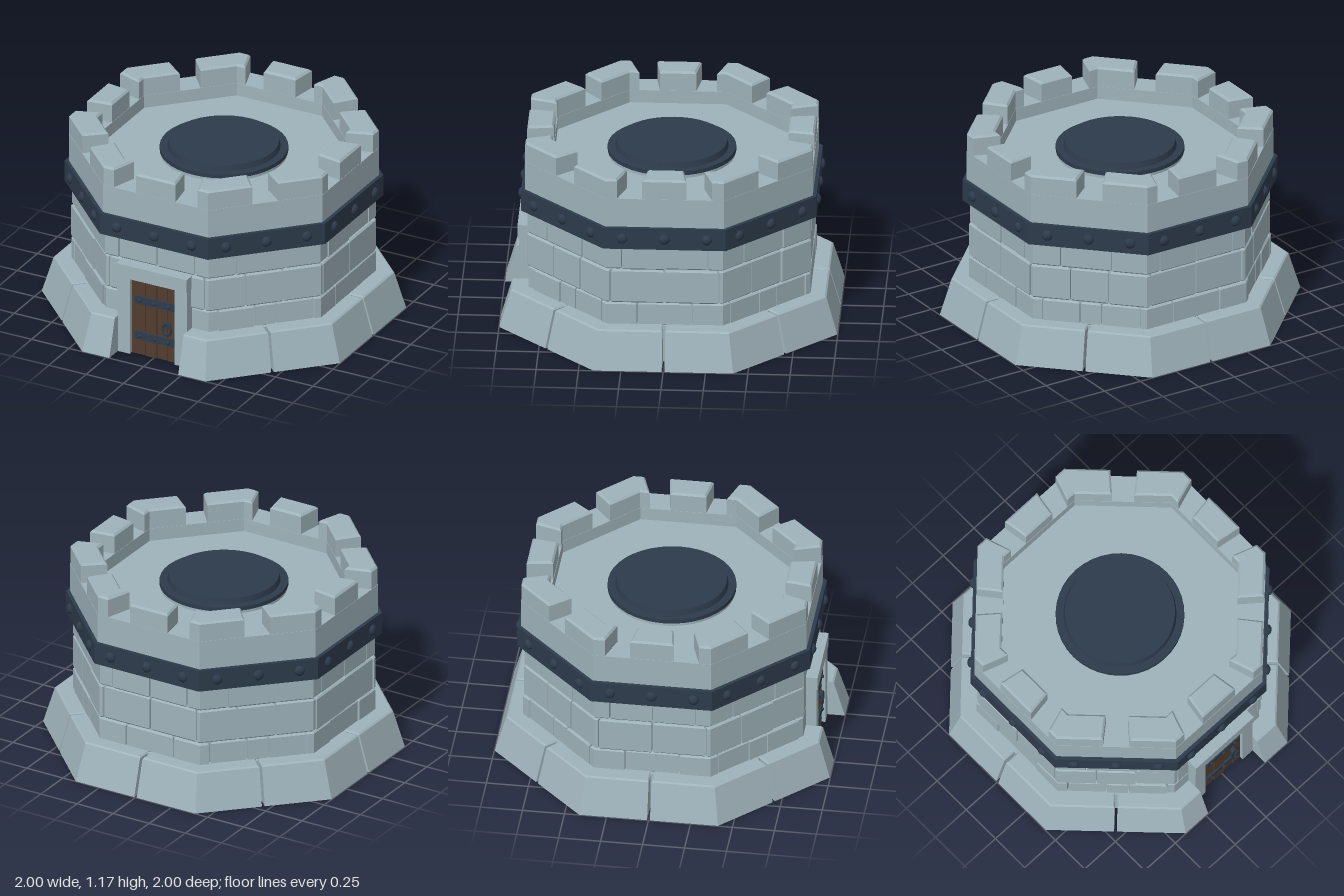
import * as THREE from 'three';

const material = (name, color) => {
  const m = new THREE.MeshStandardMaterial({ color });
  m.name = name;
  return m;
};

export function createModel() {
  const stone = material('pale stone', 0x9fb3bb);
  const iron = material('dark iron', 0x2d3b4b);
  const wood = material('brown wood', 0x523c2f);

  let seed = 7;
  const rand = () => (seed = (seed * 16807) % 2147483647) / 2147483647;

  const root = new THREE.Group();
  root.name = 'castleTower';
  const group = (name) => {
    const g = new THREE.Group();
    g.name = name;
    root.add(g);
    return g;
  };
  const add = (parent, name, geometry, mat, x = 0, y = 0, z = 0) => {
    const m = new THREE.Mesh(geometry, mat);
    m.name = name;
    m.position.set(x, y, z);
    parent.add(m);
    return m;
  };

  // Point on an octagon outline; degrees run from the front (+z) towards +x
  const octPoint = (deg, apothem) => {
    const off = (((deg + 22.5) % 45) + 45) % 45 - 22.5;
    const r = apothem / Math.cos(THREE.MathUtils.degToRad(off));
    const a = THREE.MathUtils.degToRad(deg);
    return new THREE.Vector2(r * Math.sin(a), -r * Math.cos(a));
  };
  const octagon = (apothem) =>
    Array.from({ length: 8 }, (_, i) => octPoint(22.5 + i * 45, apothem));

  // Upright extrusion from y0 to y1 with a small chamfer inside the outline
  const upright = (shape, y0, y1, bevel) => {
    const g = new THREE.ExtrudeGeometry(shape, {
      depth: y1 - y0 - 2 * bevel, bevelEnabled: bevel > 0, bevelSegments: 1,
      bevelSize: bevel, bevelThickness: bevel, bevelOffset: -bevel,
    });
    g.rotateX(-Math.PI / 2);
    g.translate(0, y0 + bevel, 0);
    return g;
  };
  const prism = (apothem, y0, y1, inner = 0, bevel = 0) => {
    const shape = new THREE.Shape(octagon(apothem));
    if (inner) shape.holes.push(new THREE.Path(octagon(inner).reverse()));
    return upright(shape, y0, y1, bevel);
  };
  // Block following the octagon between two angles, bending at corners
  const block = (a0, a1, inner, outer, y0, y1, bevel) => {
    const angles = [a0];
    for (let c = -382.5; c < 800; c += 45) if (c > a0 + 0.5 && c < a1 - 0.5) angles.push(c);
    angles.push(a1);
    const pts = angles.map((a) => octPoint(a, outer));
    angles.reverse().forEach((a) => pts.push(octPoint(a, inner)));
    return upright(new THREE.Shape(pts), y0, y1, bevel);
  };
  // Move vertices by a rule and refresh the flat normals
  const reshape = (g, rule) => {
    const p = g.attributes.position;
    const v = new THREE.Vector3();
    for (let i = 0; i < p.count; i++) {
      rule(v.fromBufferAttribute(p, i));
      p.setXYZ(i, v.x, v.y, v.z);
    }
    g.computeVertexNormals();
    return g;
  };

  // Sloping foundation blocks, one round each corner, open at the door
  const base = group('foundation');
  add(base, 'foundationCore', prism(0.85, 0, 0.23), stone);
  for (let i = 0; i < 8; i++) {
    const a0 = i === 0 ? 13 : i * 45 + 0.5;
    const a1 = i === 7 ? 347 : i * 45 + 44.5;
    const g = block(a0, a1, 0.8, 1, 0, 0.235, 0.008);
    const side = i === 0 ? 1 : i === 7 ? -1 : 0;
    reshape(g, (v) => {
      const s = 1 - 0.07 * (v.y / 0.235);
      v.x *= s;
      v.z *= s;
      if (v.y < 0.02) v.y = Math.max(0, v.y - 0.008);
      if (side) v.x = side * Math.max(0.23, side * v.x);
    });
    add(base, 'foundationBlock', g, stone);
  }

  // Three courses of bricks; joint angles repeat every quarter turn
  const wall = group('wall');
  add(wall, 'wallCore', prism(0.812, 0.2, 0.9), stone);
  const courses = [
    { y0: 0.225, y1: 0.37, joints: [11, 26, 41, 50, 65, 79] },
    { y0: 0.372, y1: 0.583, joints: [0, 21, 37, 53, 69] },
    { y0: 0.586, y1: 0.745, joints: [0, 17, 33, 54, 73] },
  ];
  for (const { y0, y1, joints } of courses) {
    const all = [0, 90, 180, 270].flatMap((q) => joints.map((j) => j + q));
    all.push(all[0] + 360);
    for (let i = 0; i < all.length - 1; i++) {
      const outer = 0.828 + rand() * 0.012;
      add(wall, 'brick', block(all[i] + 0.25, all[i + 1] - 0.25, 0.78, outer, y0, y1, 0.009), stone);
    }
  }

  // Iron band with three rivets on every side
  const band = group('ironBand');
  add(band, 'band', prism(0.872, 0.735, 0.87, 0.8), iron);
  const rivet = new THREE.SphereGeometry(0.033, 12, 8);
  for (let i = 0; i < 8; i++) {
    const side = new THREE.Group();
    side.name = 'rivetRow';
    side.rotation.y = (i * Math.PI) / 4;
    for (const x of [-0.25, 0, 0.25])
      add(side, 'rivet', rivet, iron, x, 0.803, 0.87).scale.z = 0.75;
    band.add(side);
  }

  // Parapet with twelve merlons and the roof floor
  const parapet = group('parapet');
  add(parapet, 'parapetWall', prism(0.85, 0.86, 1.05, 0.69), stone);
  add(parapet, 'roofFloor', prism(0.7, 0.88, 0.97), stone);
  for (let i = 0; i < 12; i++) {
    const half = i % 3 === 0 ? 8.8 : 10.7;
    const c = i * 30 + (i % 3 === 1 ? -1 : i % 3 === 2 ? 1 : 0);
    add(parapet, 'merlon', block(c - half, c + half, 0.692, 0.848, 1.03, 1.173, 0.012), stone);
  }

  // Round hatch in the middle of the roof
  const hatch = group('roofHatch');
  const disc = (name, r0, r1, y0, y1, mat) =>
    add(hatch, name, new THREE.CylinderGeometry(r1, r0, y1 - y0, 40), mat, 0, (y0 + y1) / 2, 0);
  disc('hatchSeat', 0.375, 0.375, 0.96, 0.99, stone);
  disc('hatchRim', 0.38, 0.38, 0.99, 1.015, iron);
  disc('hatchLid', 0.335, 0.325, 1.01, 1.05, iron);

  // Door frame
  const door = group('door');
  const box = (name, x0, x1, y0, y1, z0, z1, mat) =>
    add(door, name, new THREE.BoxGeometry(x1 - x0, y1 - y0, z1 - z0), mat,
      (x0 + x1) / 2, (y0 + y1) / 2, (z0 + z1) / 2);
  for (const s of [-1, 1])
    box('doorJamb', s > 0 ? 0.15 : -0.232, s > 0 ? 0.232 : -0.15, 0, 0.5, 0.78, 0.892, stone);
  box('doorLintel', -0.237, 0.235, 0.497, 0.582, 0.78, 0.9, stone);

  // Planks, straps with studs, and ring handle
  const edges = [-0.155, -0.06, 0.02, 0.09, 0.155];
  for (let i = 0; i < 4; i++)
    box('doorPlank', edges[i] + 0.002, edges[i + 1] - 0.002, 0, 0.497, 0.83, 0.866 + (i % 2) * 0.004, wood);
  const stud = new THREE.SphereGeometry(0.012, 8, 6);
  for (const y of [0.362, 0.127]) {
    box('doorStrap', -0.125, 0.138, y - 0.025, y + 0.025, 0.86, 0.879, iron);
    for (const x of [-0.09, 0.008, 0.1]) add(door, 'strapStud', stud, iron, x, y, 0.88);
  }
  const plate = add(door, 'handlePlate', new THREE.CylinderGeometry(0.022, 0.022, 0.02, 12), iron, 0.093, 0.24, 0.872);
  plate.rotation.x = Math.PI / 2;
  add(door, 'handleRing', new THREE.TorusGeometry(0.028, 0.007, 6, 16), iron, 0.093, 0.216, 0.884).scale.y = 1.3;

  return root;
}
